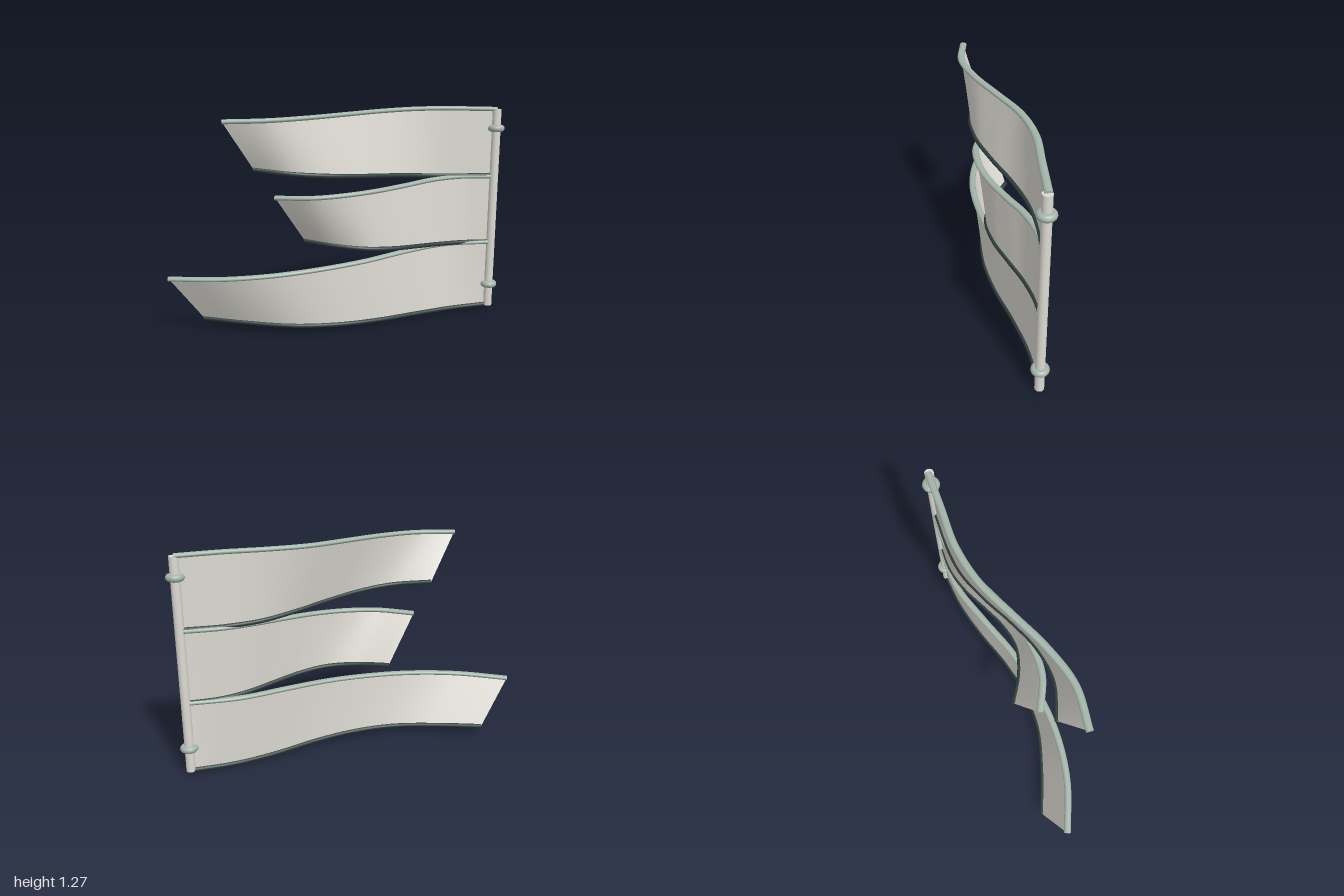
import * as THREE from 'three';

const mat = (name, color) => {
  const m = new THREE.MeshStandardMaterial({ color });
  m.name = name;
  return m;
};

// Edge curve from the pole to the free end: x steps evenly, y runs from the pole
// to a knee and then straight to the end, and z follows the wave
const KNEE = 0.22;
function edge({ x: [x0, x1], y: [yPole, yKnee, yEnd], wave }) {
  return new THREE.CatmullRomCurve3(wave.map((z, i) => {
    const u = i / (wave.length - 1);
    const y = u < KNEE
      ? THREE.MathUtils.lerp(yPole, yKnee, u / KNEE)
      : THREE.MathUtils.lerp(yKnee, yEnd, (u - KNEE) / (1 - KNEE));
    return new THREE.Vector3(THREE.MathUtils.lerp(x0, x1, u), y, z);
  }));
}

// Ruled sheet stretched between two edge curves
function sheetGeometry(top, bottom) {
  const g = new THREE.PlaneGeometry(1, 1, 72, 4);
  const pos = g.attributes.position, uv = g.attributes.uv;
  for (let i = 0; i < pos.count; i++) {
    const t = 1 - uv.getX(i);
    const p = bottom.getPoint(t).lerp(top.getPoint(t), uv.getY(i));
    pos.setXYZ(i, p.x, p.y, p.z);
  }
  g.computeVertexNormals();
  return g;
}

// Tube with an oval section, its height scaled by flat
function ovalTube(curve, radius, flat) {
  const segments = 72, sides = 12;
  const g = new THREE.TubeGeometry(curve, segments, radius, sides);
  const pos = g.attributes.position, nor = g.attributes.normal;
  const n = new THREE.Vector3();
  for (let i = 0; i < pos.count; i++) {
    const centre = curve.getPointAt(Math.floor(i / (sides + 1)) / segments);
    pos.setY(i, centre.y + (pos.getY(i) - centre.y) * flat);
    n.fromBufferAttribute(nor, i);
    n.y /= flat;
    n.normalize();
    nor.setXYZ(i, n.x, n.y, n.z);
  }
  return g;
}

// Piping along an edge, with flat end caps
function piping(name, curve, radius, flat, material) {
  const group = new THREE.Group();
  group.name = name;
  const tube = new THREE.Mesh(ovalTube(curve, radius, flat), material);
  tube.name = name + 'Tube';
  group.add(tube);
  for (const t of [0, 1]) {
    const cap = new THREE.Mesh(new THREE.CircleGeometry(radius, 12), material);
    const p = curve.getPoint(t);
    const dir = curve.getTangent(t).multiplyScalar(t ? 1 : -1);
    cap.position.copy(p);
    cap.lookAt(p.clone().add(dir));
    cap.scale.y = flat;
    cap.name = name + 'Cap';
    group.add(cap);
  }
  return group;
}

export function createModel() {
  const model = new THREE.Group();
  model.name = 'streamersOnPole';
  const cloth = mat('pale grey cloth', 0xdddad3);
  cloth.side = THREE.DoubleSide;
  const poleMat = mat('pale grey pole', 0xdddad3);
  const trim = mat('sage grey trim', 0xa5b5ab);
  const dark = mat('dark slate trim', 0x303e3e);

  // Streamer: cloth with a pale upper edge and a dark lower edge
  function addStreamer(name, upper, lower) {
    const group = new THREE.Group();
    group.name = name;
    const top = edge(upper), bottom = edge(lower);
    const sheet = new THREE.Mesh(sheetGeometry(top, bottom), cloth);
    sheet.name = 'cloth';
    group.add(sheet, piping('upperEdge', top, 0.02, 0.65, trim), piping('lowerEdge', bottom, 0.013, 1, dark));
    model.add(group);
  }

  addStreamer('topStreamer',
    { x: [0.95, -0.69], y: [1.245, 1.257, 1.237], wave: [-0.03, -0.055, -0.08, -0.056, 0.022, 0.102, 0.143, 0.1] },
    { x: [0.93, -0.52], y: [0.848, 0.853, 0.965], wave: [-0.03, -0.055, -0.055, -0.005, 0.068, 0.122, 0.12, 0.03] });
  addStreamer('middleStreamer',
    { x: [0.93, -0.4], y: [0.84, 0.845, 0.793], wave: [-0.03, -0.055, -0.025, 0.042, 0.1, 0.125, 0.105, 0] },
    { x: [0.93, -0.22], y: [0.43, 0.437, 0.515], wave: [-0.03, -0.042, -0.015, 0.04, 0.091, 0.104, 0.045, -0.07] });
  addStreamer('bottomStreamer',
    { x: [0.93, -1], y: [0.428, 0.428, 0.34], wave: [-0.03, -0.053, 0.005, 0.077, 0.108, 0.1, 0.035, -0.1] },
    { x: [0.95, -0.81], y: [0.018, 0.015, 0.065], wave: [-0.03, -0.028, 0.01, 0.066, 0.092, 0.066, -0.03, -0.155] });

  // Pole
  const pole = new THREE.Mesh(new THREE.CylinderGeometry(0.026, 0.026, 1.23, 24), poleMat);
  pole.name = 'pole';
  pole.position.set(0.95, 0.629, -0.025);
  model.add(pole);

  // Rings around the pole
  for (const y of [0.155, 1.132]) {
    const ring = new THREE.Mesh(new THREE.TorusGeometry(0.03, 0.02, 14, 32), trim);
    ring.name = 'poleRing';
    ring.rotation.x = Math.PI / 2;
    ring.position.set(0.95, y, -0.025);
    model.add(ring);
  }
  return model;
}
